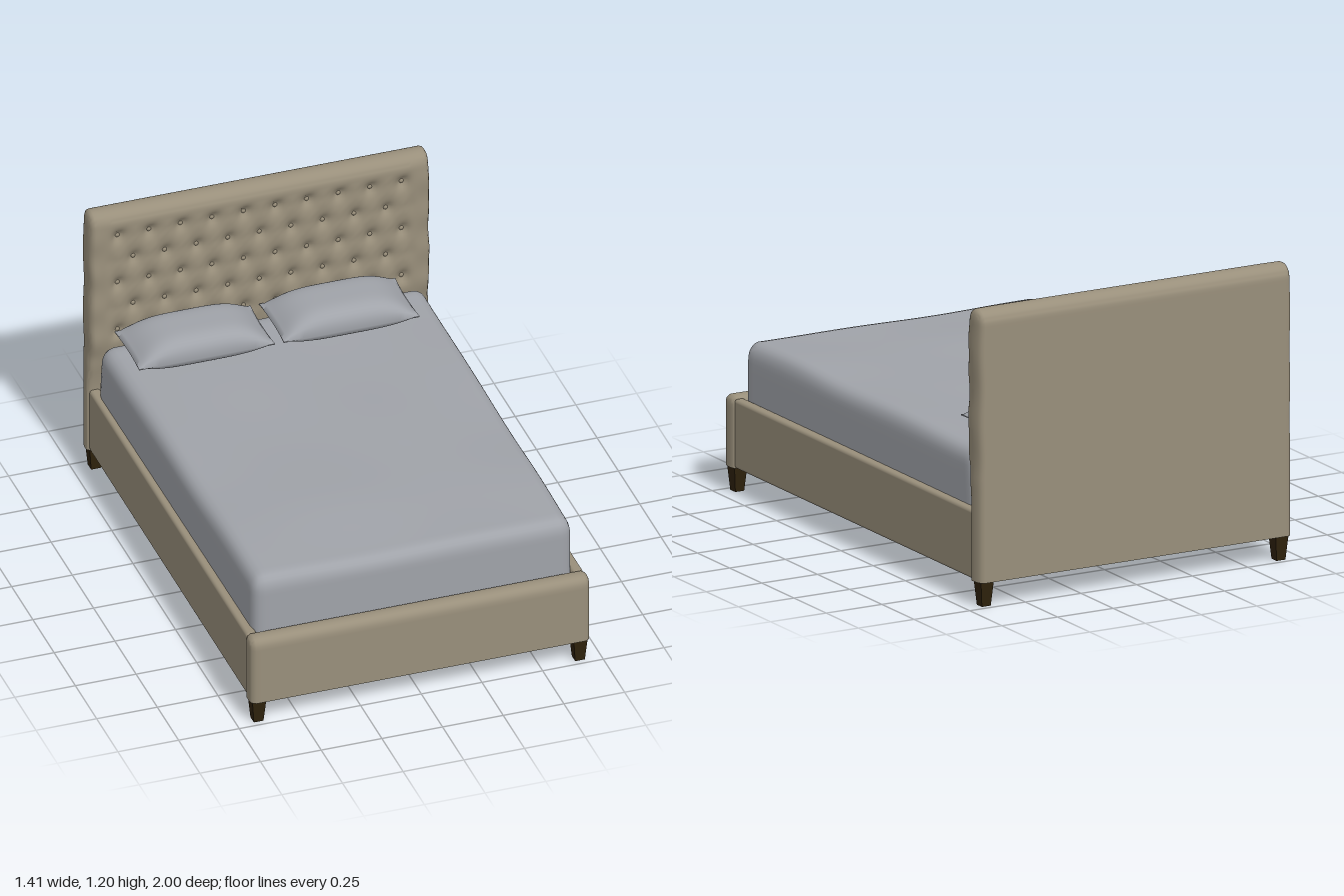
import * as THREE from 'three';
import { toCreasedNormals } from 'three/addons/utils/BufferGeometryUtils.js';
import { RoundedBoxGeometry } from 'three/addons/geometries/RoundedBoxGeometry.js';

const fabric = new THREE.MeshStandardMaterial({ color: 0x998f7b });
const linen = new THREE.MeshStandardMaterial({ color: 0xa0a3a9 });
const darkWood = new THREE.MeshStandardMaterial({ color: 0x2f220d });
const slatWood = new THREE.MeshStandardMaterial({ color: 0x97907f });
fabric.name = 'taupe fabric';
linen.name = 'grey linen';
darkWood.name = 'dark wood';
slatWood.name = 'slat wood';

const { smoothstep } = THREE.MathUtils;

function add(parent, name, geometry, material, x = 0, y = 0, z = 0) {
  const mesh = new THREE.Mesh(geometry, material);
  mesh.name = name;
  mesh.position.set(x, y, z);
  parent.add(mesh);
  return mesh;
}

// Move every vertex by a rule, then smooth all but the sharp edges
function reshape(geometry, rule) {
  const pos = geometry.attributes.position;
  const p = new THREE.Vector3();
  for (let i = 0; i < pos.count; i++) {
    rule(p.fromBufferAttribute(pos, i));
    pos.setXYZ(i, p.x, p.y, p.z);
  }
  return toCreasedNormals(geometry, 1);
}

// Upholstered block: rounded sides and top, flat bottom
function softBox(size, segments, radii, rule = () => {}) {
  const half = new THREE.Vector3(...size).multiplyScalar(0.5);
  const r = new THREE.Vector3(...radii);
  const limit = half.clone().sub(r);
  const lower = limit.clone().negate();
  const inner = new THREE.Vector3();
  const d = new THREE.Vector3();
  return reshape(new THREE.BoxGeometry(...size, ...segments), (p) => {
    const y = p.y;
    inner.copy(p).clamp(lower, limit);
    d.copy(p).sub(inner).divide(r);
    if (y < 0) d.y = 0;
    const reach = Math.max(Math.abs(d.x), Math.abs(d.y), Math.abs(d.z));
    d.normalize().multiplyScalar(reach);
    p.copy(inner).add(d.multiply(r));
    if (y < 0) p.y = y;
    rule(p);
  });
}

// Diamond tufting: depth of the padding at a point of the headboard
const STEP_X = 0.13, STEP_Y = 0.109, ROW_Y = 0.977;
function tuftDepth(x, y) {
  const row = (y - ROW_Y) / STEP_Y / 2;
  const u = x / STEP_X + row, v = x / STEP_X - row;
  const du = u - Math.round(u), dv = v - Math.round(v);
  const dx = (du + dv) * STEP_X / 2, dy = (du - dv) * STEP_Y;
  const r2 = dx * dx + dy * dy;
  const fold = Math.exp(-((du / 0.12) ** 2)) + Math.exp(-((dv / 0.12) ** 2));
  const dimple = 0.016 * Math.exp(-r2 / 0.0005) + 0.009 * Math.exp(-r2 / 0.002);
  const inside = smoothstep(0.645 - Math.abs(x), 0, 0.05)
    * smoothstep(1.15 - y, 0, 0.05) * smoothstep(y, 0.58, 0.63);
  return inside * (0.001 * fold + dimple);
}

function addHeadboard(bed) {
  const cy = 0.648, cz = -0.942;
  const geometry = softBox([1.408, 1.096, 0.115], [120, 90, 8], [0.022, 0.055, 0.055], (p) => {
    const y = p.y + cy;
    if (p.z > 0.02) p.z -= tuftDepth(p.x, y);
    // Padding thins out below the mattress top
    if (p.z > 0) p.z *= 1 - 0.62 * smoothstep(0.64 - y, 0, 0.27);
    // Gently rumpled side edges
    const edge = smoothstep(Math.abs(p.x), 0.6, 0.7) * smoothstep(y, 0.45, 0.55);
    p.x += Math.sign(p.x) * edge * 0.002 * Math.sin(p.y * 22);
    if (p.z > 0) p.z -= edge * 0.003 * (1 + Math.sin(p.y * 40));
  });
  add(bed, 'headboard', geometry, fabric, 0, cy, cz);

  const buttons = new THREE.Group();
  buttons.name = 'headboardButtons';
  const button = new THREE.SphereGeometry(0.01, 12, 8);
  for (let row = 0; row < 5; row++) {
    const count = row % 2 ? 9 : 10;
    for (let i = 0; i < count; i++) {
      const x = (i - (count - 1) / 2) * STEP_X;
      const y = ROW_Y + (1 - row) * STEP_Y;
      add(buttons, 'button', button, fabric, x, y, -0.882 - tuftDepth(x, y)).scale.z = 0.7;
    }
  }
  bed.add(buttons);
}

// Pillow with flat seams and pointed ends
function pillowGeometry(width, depth) {
  return reshape(new THREE.BoxGeometry(2, 2, 2, 36, 1, 26), (p) => {
    const { x, z } = p;
    const puff = Math.pow(Math.max(0, 1 - x ** 4), 1.2) * Math.sqrt(Math.max(0, 1 - z ** 4));
    p.x = x * (width / 2) * (1 - 0.02 * (1 - z * z));
    p.z = z * (depth / 2) * (1 - 0.02 * (1 - x * x));
    p.y = p.y > 0 ? 0.002 + 0.08 * puff : -0.002 - 0.048 * puff;
  });
}

export function createModel() {
  const bed = new THREE.Group();
  bed.name = 'bed';

  addHeadboard(bed);
  add(bed, 'footboard', softBox([1.4, 0.29, 0.084], [70, 18, 6], [0.018, 0.036, 0.036]),
    fabric, 0, 0.245, 0.958);

  // Side rails and tapered legs
  const leg = toCreasedNormals(
    new THREE.CylinderGeometry(0.041, 0.028, 0.104, 4).rotateY(Math.PI / 4), 0.5);
  for (const side of [-1, 1]) {
    add(bed, 'sideRail', new RoundedBoxGeometry(0.045, 0.28, 1.86, 3, 0.014),
      fabric, side * 0.672, 0.24, 0);
    for (const end of [-1, 1]) {
      add(bed, 'leg', leg, darkWood, side * 0.662, 0.052, end * 0.957);
    }
  }

  // Slats with a centre beam between them
  const slats = new THREE.Group();
  slats.name = 'slats';
  const count = 19;
  for (let i = 0; i < count; i++) {
    const z = -0.87 + (i * 1.74) / (count - 1);
    add(slats, 'slat', new THREE.BoxGeometry(1.31, 0.022, 0.062), slatWood, 0, 0.2, z);
  }
  add(slats, 'centreBeam', new THREE.BoxGeometry(0.03, 0.018, 1.84), slatWood, 0, 0.201, 0);
  bed.add(slats);

  // Mattress with a slightly rumpled top, a little wider toward the head
  const mattress = softBox([1.326, 0.39, 1.816], [56, 20, 72], [0.05, 0.06, 0.045], (p) => {
    const top = smoothstep(p.y, 0.1, 0.19);
    p.y += top * (0.008 * Math.exp(-(((p.z - 0.5) / 0.25) ** 2))
      + 0.002 * Math.sin(p.x * 5 + p.z * 6) + 0.0015 * Math.sin(p.x * 9 - p.z * 7));
    p.x *= 1 - 0.004 * top - 0.008 * p.z;
    // Head end leans away from the headboard
    if (p.z < -0.8) p.z += 0.02 * smoothstep(p.y, -0.03, 0.19);
  });
  add(bed, 'mattress', mattress, linen, -0.003, 0.416, 0.01);

  // Pillows
  const pillow = pillowGeometry(0.56, 0.29);
  add(bed, 'rightPillow', pillow, linen, -0.328, 0.662, -0.728);
  add(bed, 'leftPillow', pillow, linen, 0.268, 0.662, -0.728);

  return bed;
}
